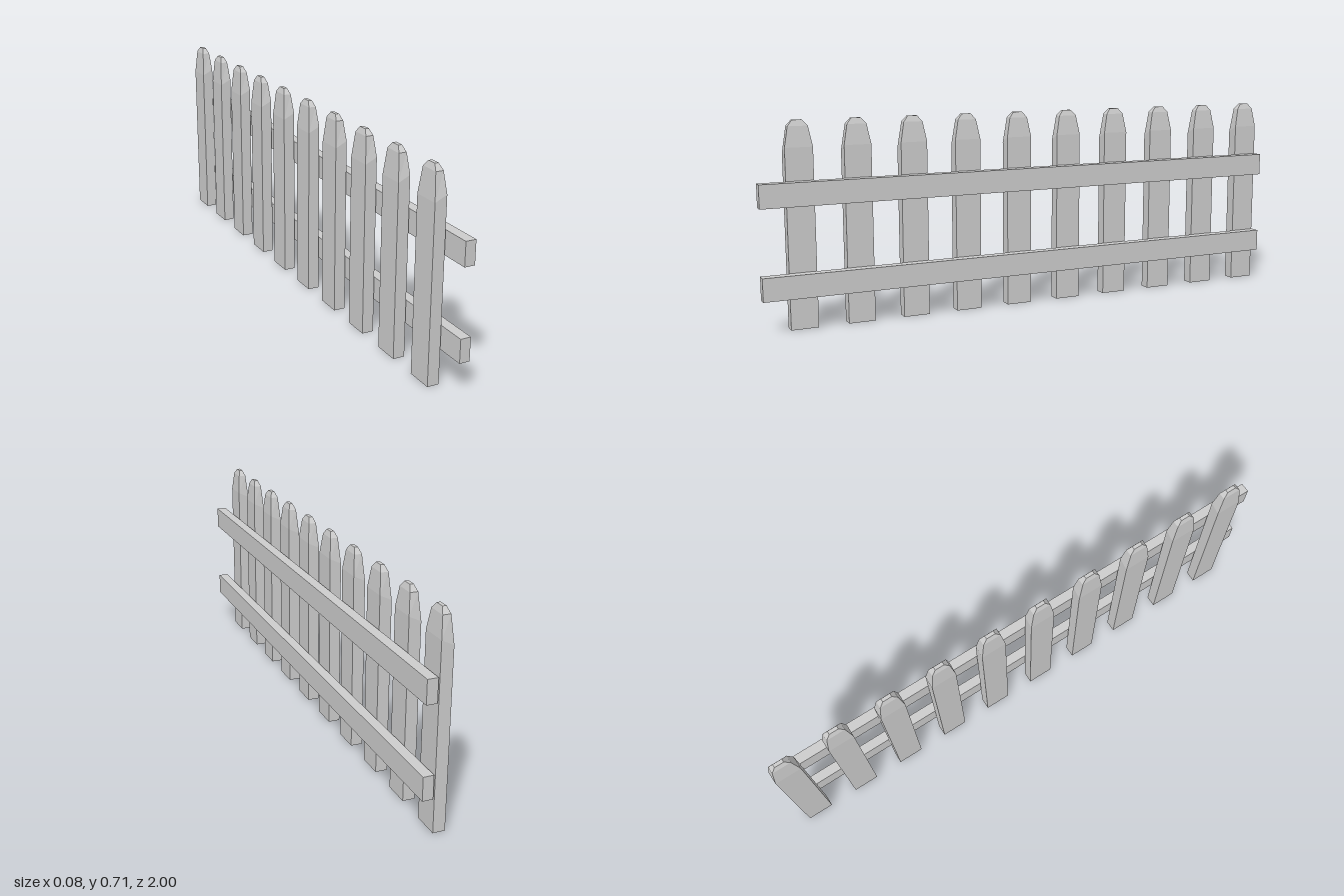
import * as THREE from 'three';

const material = new THREE.MeshStandardMaterial({ color: 0xcccccc, flatShading: true });

// Square-section picket lofted through rings: [y on -x side, y on +x side, half x, half z]
function picketGeometry() {
  const rings = [
    [0, 0, 0.0205, 0.0475],
    [0.6, 0.62, 0.0205, 0.0475],
    [0.69, 0.69, 0.0135, 0.034],
    [0.71, 0.71, 0.0065, 0.017],
  ].map(([yl, yr, hx, hz]) => [[hx, yr, hz], [hx, yr, -hz], [-hx, yl, -hz], [-hx, yl, hz]]);
  const pos = [];
  const quad = (a, b, c, d) => pos.push(...a, ...b, ...c, ...a, ...c, ...d);
  for (let r = 0; r < rings.length - 1; r++) {
    for (let i = 0; i < 4; i++) {
      const j = (i + 1) % 4;
      quad(rings[r][i], rings[r][j], rings[r + 1][j], rings[r + 1][i]);
    }
  }
  quad(...rings[rings.length - 1]);
  quad(...[...rings[0]].reverse());
  const geometry = new THREE.BufferGeometry();
  geometry.setAttribute('position', new THREE.Float32BufferAttribute(pos, 3));
  geometry.computeVertexNormals();
  return geometry;
}

export function createModel() {
  const fence = new THREE.Group();
  fence.name = 'picketFence';

  // Ten evenly spaced pickets
  const picket = picketGeometry();
  for (let i = 0; i < 10; i++) {
    const mesh = new THREE.Mesh(picket, material);
    mesh.name = `picket${i + 1}`;
    mesh.position.set(-0.0205, 0, 0.855 - i * 0.2008);
    fence.add(mesh);
  }

  // Two rails running the full length
  const rail = new THREE.BoxGeometry(0.036, 0.081, 2);
  for (const [name, y] of [['lowerRail', 0.157], ['upperRail', 0.468]]) {
    const mesh = new THREE.Mesh(rail, material);
    mesh.name = name;
    mesh.position.set(0.022, y, 0);
    fence.add(mesh);
  }
  return fence;
}
